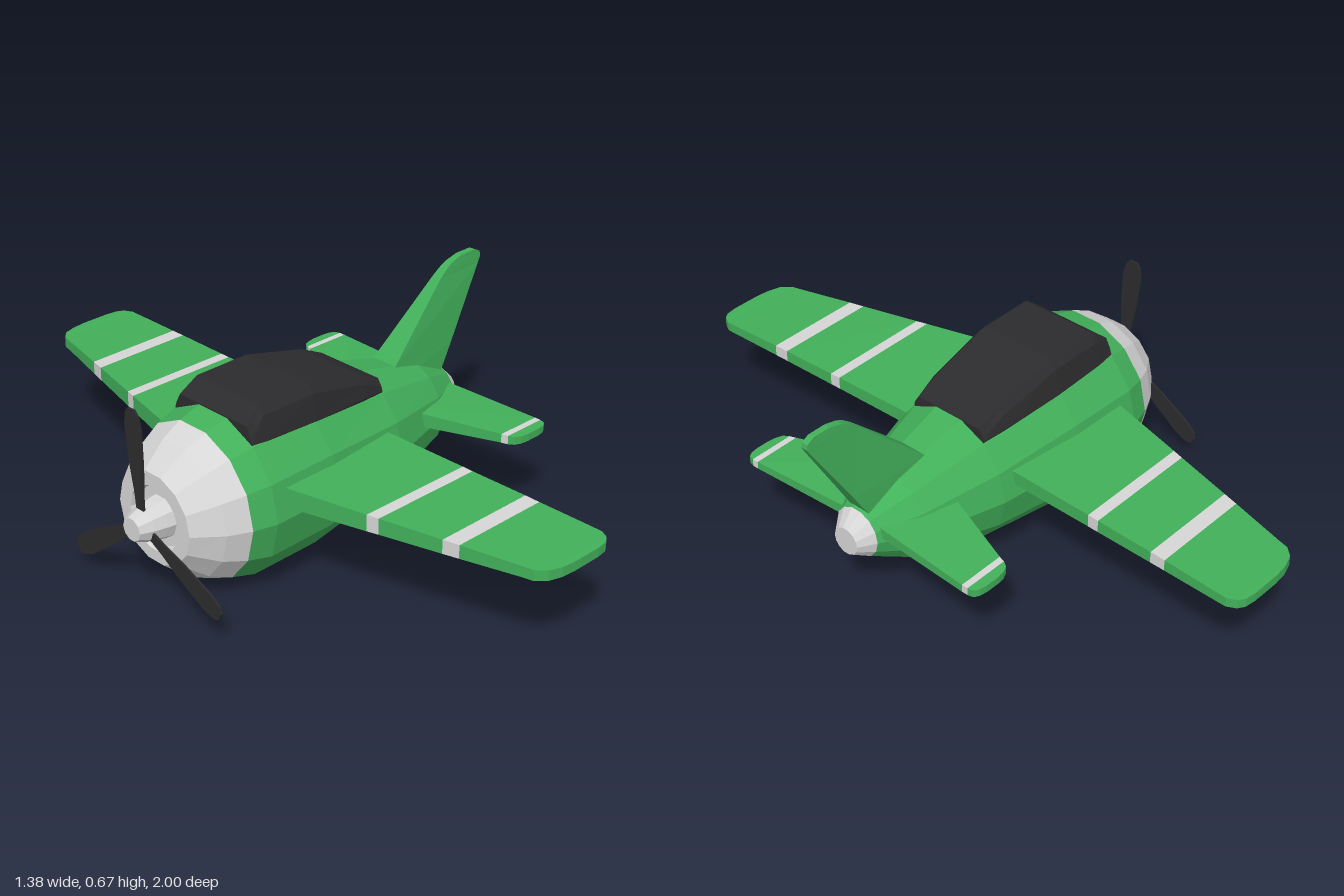
import * as THREE from 'three';

const paint = (name, color) => {
  const m = new THREE.MeshStandardMaterial({ color, flatShading: true });
  m.name = name;
  return m;
};

// Closed skin through equal-length rings of [x, y, z]; colours[i] is the material slot of segment i.
function loft(name, rings, materials, colours = []) {
  const tris = rings.slice(1).map(() => []);
  rings.slice(1).forEach((b, i) => {
    const a = rings[i], n = a.length;
    for (let k = 0; k < n; k++) {
      const j = (k + 1) % n;
      tris[i].push([a[k], a[j], b[j]], [a[k], b[j], b[k]]);
    }
  });
  const first = rings[0], last = rings[rings.length - 1];
  for (let k = 1; k < first.length - 1; k++) {
    tris[0].push([first[0], first[k + 1], first[k]]);
    tris[tris.length - 1].push([last[0], last[k], last[k + 1]]);
  }
  // Turn every face outward, whichever way the rings run
  const volume = tris.flat().reduce((s, [a, b, c]) => s + new THREE.Vector3(...a)
    .dot(new THREE.Vector3(...b).cross(new THREE.Vector3(...c))), 0);
  const geometry = new THREE.BufferGeometry(), positions = [];
  tris.forEach((list, i) => {
    geometry.addGroup(positions.length / 3, list.length * 3, colours[i] || 0);
    for (const [a, b, c] of list) positions.push(...a, ...(volume < 0 ? c : b), ...(volume < 0 ? b : c));
  });
  geometry.setAttribute('position', new THREE.Float32BufferAttribute(positions, 3));
  geometry.computeVertexNormals();
  const mesh = new THREE.Mesh(geometry, materials);
  mesh.name = name;
  return mesh;
}

// Upright polygon ring around the fuselage axis, with a flat facet at the bottom
const ring = (x, cy, ry, rz, n) => Array.from({ length: n }, (_, k) => {
  const t = ((k + 0.5) / n) * Math.PI * 2;
  return [x, cy - ry * Math.cos(t), rz * Math.sin(t)];
});

export function createModel() {
  const green = paint('green paint', 0x42b05a);
  const silver = paint('silver paint', 0xd6d6d6);
  const black = paint('black', 0x2c2c2e);
  const skin = [green, silver];
  const plane = new THREE.Group();
  plane.name = 'plane';

  // Fuselage: x, centre y, vertical radius, side radius
  const hull = [
    [-0.585, 0.25, 0.09, 0.09], [-0.61, 0.25, 0.1, 0.1], [-0.61, 0.253, 0.14, 0.145],
    [-0.53, 0.25, 0.205, 0.205], [-0.463, 0.25, 0.236, 0.236], [-0.39, 0.25, 0.256, 0.256],
    [-0.155, 0.25, 0.256, 0.25], [0.14, 0.248, 0.211, 0.214], [0.385, 0.248, 0.145, 0.145],
    [0.51, 0.255, 0.078, 0.078], [0.555, 0.248, 0.043, 0.043],
  ];
  plane.add(loft('fuselage', hull.map((s) => ring(...s, 14)), skin, [1, 1, 1, 1, 0, 0, 0, 0, 0, 1]));

  // Canopy: x, sill half width and y, shoulder half width and y, roof half width and y
  const canopy = [
    [-0.39, 0.157, 0.455, 0.15, 0.475, 0.135, 0.503],
    [-0.335, 0.161, 0.45, 0.145, 0.52, 0.125, 0.545],
    [-0.15, 0.163, 0.443, 0.147, 0.52, 0.125, 0.545],
    [0.055, 0.147, 0.43, 0.136, 0.472, 0.115, 0.496],
    [0.138, 0.134, 0.42, 0.13, 0.433, 0.115, 0.456],
  ];
  plane.add(loft('canopy', canopy.map(([x, w0, y0, w1, y1, w2, y2]) => [
    [x, y0 - 0.03, w0 - 0.02], [x, y0, w0], [x, y1, w1], [x, y2, w2],
    [x, y2, -w2], [x, y1, -w1], [x, y0, -w0], [x, y0 - 0.03, -w0 + 0.02],
  ]), black));

  // Wings and tailplanes: span, leading x, trailing x, leading bottom and top y, trailing bottom and top y
  const wing = [
    [0.15, -0.363, 0.093, 0.275, 0.338, 0.286, 0.33],
    [0.48, -0.28, 0.1, 0.279, 0.33, 0.287, 0.327],
    [0.515, -0.271, 0.101, 0.28, 0.329, 0.287, 0.326],
    [0.7, -0.224, 0.106, 0.282, 0.325, 0.288, 0.324],
    [0.748, -0.212, 0.107, 0.283, 0.324, 0.288, 0.323],
    [0.92, -0.168, 0.113, 0.286, 0.319, 0.289, 0.319],
    [0.955, -0.16, 0.114, 0.286, 0.318, 0.289, 0.318],
    [0.982, -0.135, 0.1, 0.287, 0.318, 0.289, 0.318],
    [0.995, -0.095, 0.08, 0.287, 0.317, 0.289, 0.317],
    [1, -0.05, 0.045, 0.288, 0.317, 0.289, 0.317],
  ];
  const tailplane = [
    [0.05, 0.236, 0.494, 0.262, 0.312, 0.268, 0.3],
    [0.393, 0.364, 0.514, 0.268, 0.296, 0.27, 0.294],
    [0.413, 0.37, 0.514, 0.268, 0.295, 0.27, 0.294],
    [0.43, 0.38, 0.51, 0.269, 0.294, 0.27, 0.293],
    [0.439, 0.4, 0.495, 0.269, 0.293, 0.27, 0.293],
    [0.443, 0.425, 0.47, 0.27, 0.293, 0.27, 0.293],
  ];
  for (const side of [1, -1]) {
    const span = (stations) => stations.map(([s, a, b, a0, a1, b0, b1]) =>
      [[a, a0, s * side], [a, a1, s * side], [b, b1, s * side], [b, b0, s * side]]);
    const label = side > 0 ? 'left' : 'right';
    plane.add(loft(label + 'Wing', span(wing), skin, [0, 1, 0, 1, 0]));
    plane.add(loft(label + 'Tailplane', span(tailplane), skin, [0, 1, 0]));
  }

  // Tail fin: y, leading x, trailing x, leading and trailing half thickness
  const fin = [
    [0.33, 0.195, 0.498, 0.055, 0.035], [0.41, 0.28, 0.546, 0.045, 0.03],
    [0.62, 0.504, 0.674, 0.016, 0.012], [0.64, 0.53, 0.685, 0.014, 0.011],
    [0.655, 0.556, 0.682, 0.012, 0.01], [0.667, 0.6, 0.658, 0.01, 0.01],
  ];
  plane.add(loft('tailFin', fin.map(([y, a, b, ta, tb]) =>
    [[a, y, ta], [b, y, tb], [b, y, -tb], [a, y, -ta]]), green));

  // Propeller hub
  const hub = [[-0.58, 0.065], [-0.61, 0.06], [-0.652, 0.05], [-0.69, 0.035]];
  plane.add(loft('propellerHub', hub.map(([x, r]) => ring(x, 0.25, r, r, 10)), silver));

  // Three flat blades: distance from the hub, half width
  const blade = [[0.02, 0.014], [0.1, 0.018], [0.18, 0.028], [0.29, 0.033], [0.33, 0.026], [0.345, 0.013]];
  const propeller = new THREE.Group();
  propeller.name = 'propeller';
  propeller.position.set(-0.652, 0.25, 0);
  for (let i = 0; i < 3; i++) {
    const mesh = loft('propellerBlade', blade.map(([y, w]) =>
      [[-0.003, y, w], [0.003, y, w], [0.003, y, -w], [-0.003, y, -w]]), black);
    mesh.rotation.x = -0.07 + (i * Math.PI * 2) / 3;
    propeller.add(mesh);
  }
  plane.add(propeller);
  return plane;
}
